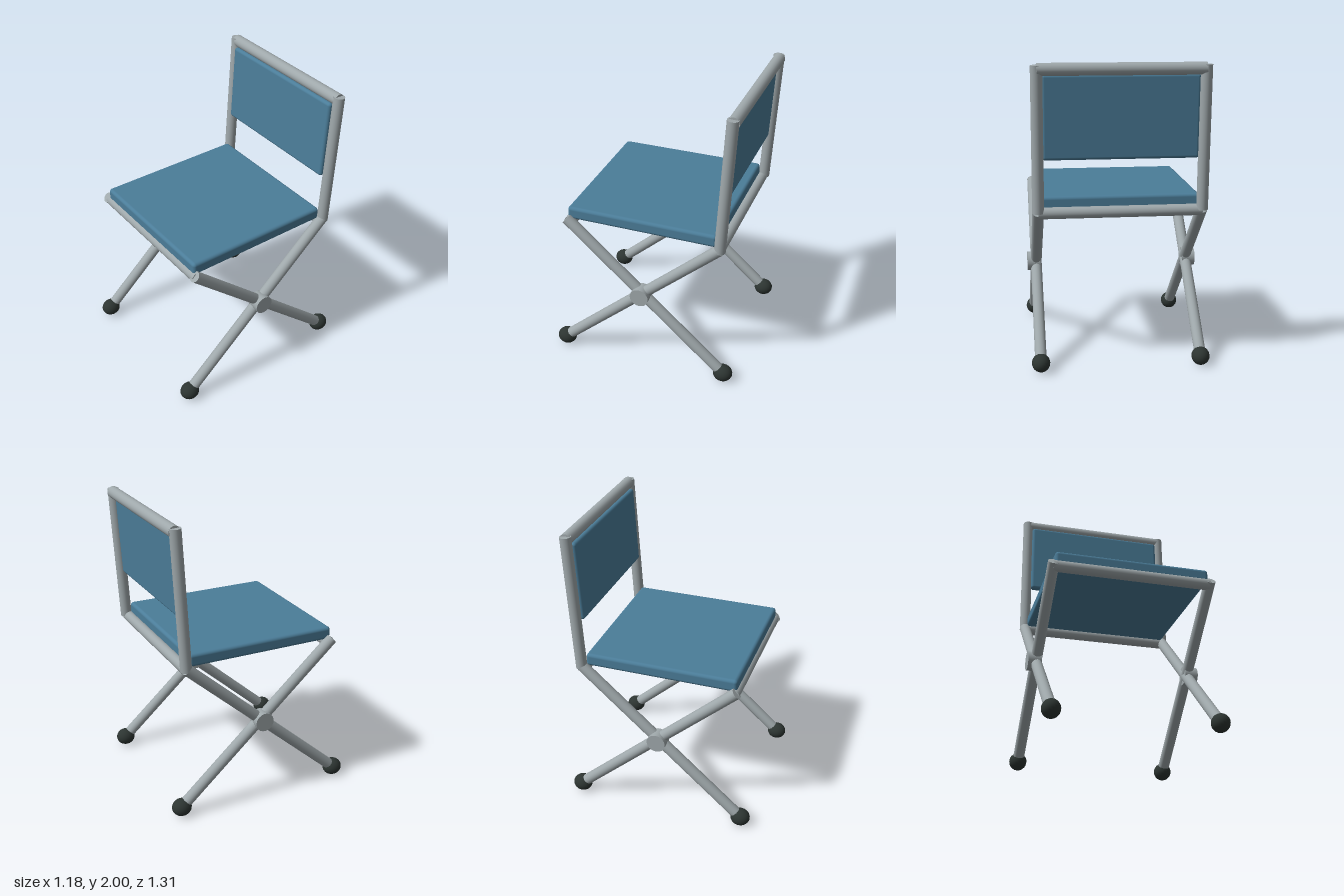
import * as THREE from 'three';
import { RoundedBoxGeometry } from 'three/addons/geometries/RoundedBoxGeometry.js';

export function createModel() {
  const chair = new THREE.Group();
  chair.name = 'foldingChair';

  const material = (name, color) => {
    const m = new THREE.MeshStandardMaterial({ color });
    m.name = name;
    return m;
  };
  const steel = material('greySteel', 0x9fa8ab);
  const fabric = material('blueFabric', 0x4b7d99);
  const rubber = material('darkRubber', 0x2d3532);

  const add = (name, geometry, mat, x, y, z) => {
    const mesh = new THREE.Mesh(geometry, mat);
    mesh.name = name;
    mesh.position.set(x, y, z);
    chair.add(mesh);
    return mesh;
  };

  // Straight capped tube between two points
  const UP = new THREE.Vector3(0, 1, 0);
  const tube = (name, from, to, radius = 0.038) => {
    const a = new THREE.Vector3(...from);
    const b = new THREE.Vector3(...to);
    const dir = b.clone().sub(a);
    const mid = a.clone().add(b).multiplyScalar(0.5);
    const mesh = add(name, new THREE.CylinderGeometry(radius, radius, dir.length(), 20), steel, mid.x, mid.y, mid.z);
    mesh.quaternion.setFromUnitVectors(UP, dir.normalize());
  };

  // Side frames: crossed legs, back post, pivot and feet
  const X = 0.53;
  for (const [side, s] of [['left', 1], ['right', -1]]) {
    const x = s * X;
    tube(side + 'FrontFootLeg', [x, 0.06, 0.588], [x, 1.06, -0.535]);
    tube(side + 'RearFootLeg', [x, 0.06, -0.588], [x, 1.068, 0.533]);
    tube(side + 'BackPost', [x, 1.05, -0.538], [x, 1.985, -0.592]);

    const pivot = add(side + 'Pivot', new THREE.CylinderGeometry(0.065, 0.065, 0.09, 24), steel, s * 0.546, 0.585, 0);
    pivot.rotation.z = Math.PI / 2;

    for (const [end, z] of [['Front', 0.588], ['Rear', -0.588]]) {
      const foot = add(side + end + 'Foot', new THREE.SphereGeometry(0.06, 20, 14), rubber, x, 0.06, z);
      foot.scale.z = 1.13;
    }
  }

  // Cross bars
  tube('frontSeatBar', [-X, 1.046, 0.512], [X, 1.046, 0.512]);
  tube('rearSeatBar', [-X, 1.046, -0.525], [X, 1.046, -0.525]);
  tube('topBar', [-X, 1.96, -0.594], [X, 1.96, -0.594], 0.04);

  // Seat pad and tilted back pad
  add('seat', new RoundedBoxGeometry(1.04, 0.088, 1.04, 3, 0.022), fabric, 0, 1.105, 0.01);
  const back = add('backrest', new RoundedBoxGeometry(1.0, 0.54, 0.05, 3, 0.02), fabric, 0, 1.66, -0.553);
  back.rotation.x = -0.058;

  return chair;
}
